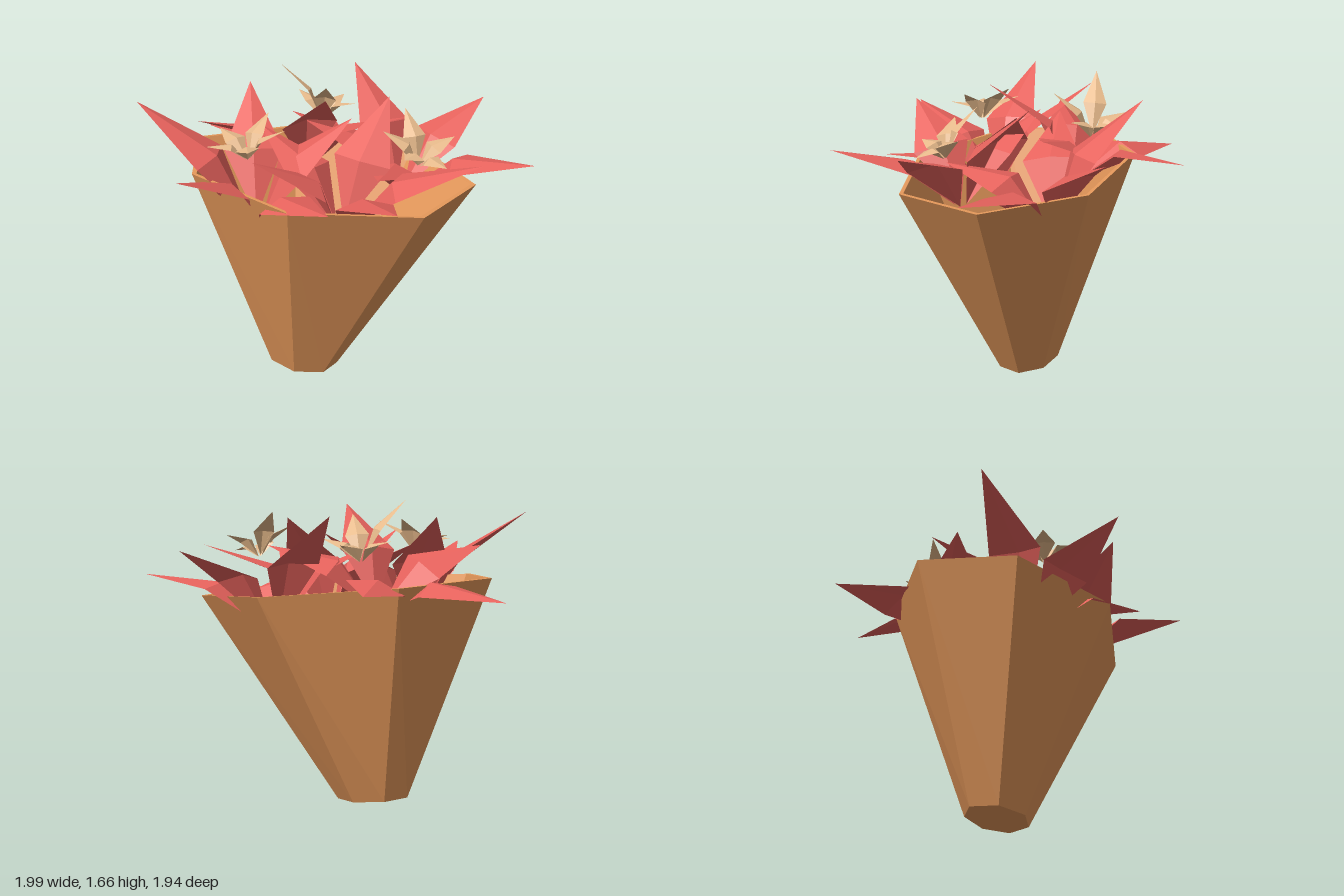
import * as THREE from 'three';

const clay = new THREE.MeshStandardMaterial({ color: 0xe6995b });
clay.name = 'clay brown';
const red = new THREE.MeshStandardMaterial({ color: 0xeb645e, side: THREE.DoubleSide });
red.name = 'petal red';
const tan = new THREE.MeshStandardMaterial({ color: 0xf3c493, side: THREE.DoubleSide });
tan.name = 'blossom tan';

// flat-faced geometry from a list of triangles (each three Vector3)
function facets(triangles) {
  const geometry = new THREE.BufferGeometry().setFromPoints(triangles.flat());
  geometry.computeVertexNormals();
  return geometry;
}

// hollow seven-sided pot: outer wall, rim, inner wall, floor and base
function makePot() {
  const rimXZ = [[0.72, 0.16], [0.18, 0.58], [-0.47, 0.52], [-0.77, 0.09], [-0.48, -0.42], [0.2, -0.66], [0.72, -0.39]];
  const baseXZ = [[0.06, 0.08], [-0.07, 0.18], [-0.24, 0.16], [-0.32, 0.03], [-0.24, -0.09], [-0.07, -0.13], [0.06, -0.06]];
  const rim = (s) => rimXZ.map(([x, z]) => new THREE.Vector3(x * s, 1.19 - 0.08 * x, z * s));
  const base = (s, lift) => baseXZ.map(([x, z]) =>
    new THREE.Vector3(-0.13 + (x + 0.13) * s, 0.02 - 0.08 * (x + 0.13) + lift, z * s));
  const rings = [base(1, 0), rim(1), rim(0.965), base(0.9, 0.04)];
  const n = rimXZ.length;
  const tris = [];
  for (let r = 0; r < 3; r++) {
    for (let i = 0; i < n; i++) {
      const j = (i + 1) % n;
      const [lo, hi] = [rings[r], rings[r + 1]];
      tris.push([lo[i], hi[i], hi[j]], [lo[i], hi[j], lo[j]]);
    }
  }
  for (let i = 1; i < n - 1; i++) {
    tris.push([rings[0][0], rings[0][i], rings[0][i + 1]]);
    tris.push([rings[3][0], rings[3][i + 1], rings[3][i]]);
  }
  const pot = new THREE.Mesh(facets(tris), clay);
  pot.name = 'pot';
  return pot;
}

// bell-shaped petal: steep wedge up from the centre, then a ridged tip flaring outward
function petal(centre, tip, axis, size) {
  const along = tip.clone().sub(centre);
  const side = new THREE.Vector3().crossVectors(axis, along).normalize();
  const up = new THREE.Vector3().crossVectors(along, side).normalize();
  const base = centre.clone().addScaledVector(along, 0.05);
  const at = (t, across, lift) => centre.clone().addScaledVector(along, t)
    .addScaledVector(side, across * size).addScaledVector(up, lift * size);
  const a = at(0.48, 0.155, 0.085);
  const b = at(0.48, -0.155, 0.085);
  const ridge = at(0.46, 0, 0.13);
  return [[base, a, ridge], [base, ridge, b], [a, tip, ridge], [ridge, tip, b]];
}

function makeFlower(name, material, { centre, tips }, size) {
  const c = new THREE.Vector3(...centre);
  const points = tips.map((t) => new THREE.Vector3(...t));
  const axis = new THREE.Vector3();
  for (const p of points) axis.add(p.clone().sub(c).normalize());
  axis.normalize();
  const flower = new THREE.Group();
  flower.name = name;
  for (const p of points) {
    const mesh = new THREE.Mesh(facets(petal(c, p, axis, size)), material);
    mesh.name = 'petal';
    flower.add(mesh);
  }
  return flower;
}

const largeFlowers = [
  { centre: [0.23, 0.97, -0.43], tips: [[0.45, 1.42, -0.97], [0.99, 1.25, -0.53], [0.42, 1.25, 0.12], [-0.25, 1.45, -0.08], [-0.22, 1.59, -0.66]] },
  { centre: [0.24, 0.95, 0.18], tips: [[0.92, 1.38, -0.06], [0.81, 1.31, 0.58], [0.07, 1.46, 0.71], [-0.32, 1.42, 0.12], [0.23, 1.56, -0.3]] },
  { centre: [-0.24, 1.08, -0.18], tips: [[-1, 1.17, -0.29], [-0.46, 1.22, -0.77], [0.28, 1.42, -0.42], [0.1, 1.62, 0.12], [-0.64, 1.41, 0.25]] },
  { centre: [-0.19, 0.94, 0.34], tips: [[-0.2, 1.38, 0.97], [-0.78, 1.58, 0.57], [-0.53, 1.57, -0.08], [0.12, 1.47, -0.1], [0.43, 1.22, 0.59]] },
];

const smallFlowers = [
  { centre: [-0.22, 1.34, -0.33], tips: [[-0.2, 1.44, -0.52], [-0.01, 1.46, -0.36], [-0.09, 1.58, -0.17], [-0.41, 1.66, -0.2], [-0.43, 1.46, -0.4]] },
  { centre: [0.57, 1.32, -0.03], tips: [[0.68, 1.45, -0.2], [0.75, 1.35, 0.0], [0.58, 1.4, 0.13], [0.41, 1.5, 0.06], [0.43, 1.58, -0.12]] },
  { centre: [-0.17, 1.34, 0.43], tips: [[-0.4, 1.45, 0.36], [-0.18, 1.54, 0.23], [0.03, 1.52, 0.37], [-0.06, 1.44, 0.57], [-0.33, 1.42, 0.57]] },
];

export function createModel() {
  const model = new THREE.Group();
  model.name = 'flowerPot';
  model.add(makePot());
  for (const f of largeFlowers) model.add(makeFlower('largeFlower', red, f, 1));
  for (const f of smallFlowers) model.add(makeFlower('smallFlower', tan, f, 0.4));
  return model;
}
